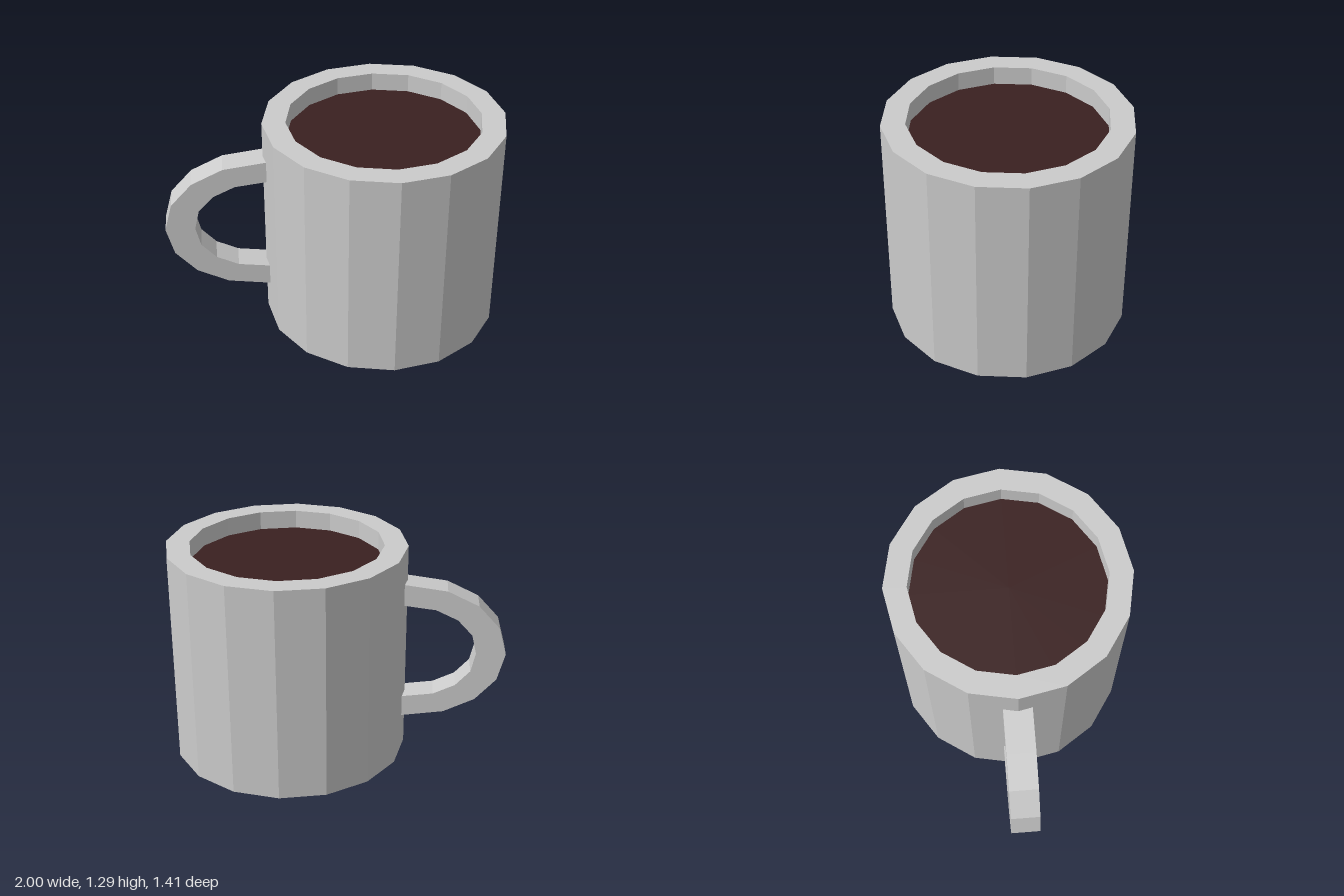
import * as THREE from 'three';

const SIDES = 16;
const CENTRE_X = 0.295;
const OUTER = 0.705;
const INNER = 0.568;
const HEIGHT = 1.29;

export function createModel() {
  const group = new THREE.Group();
  const grey = new THREE.MeshStandardMaterial({ color: 0xcccccc, flatShading: true, side: THREE.DoubleSide });
  const brown = new THREE.MeshStandardMaterial({ color: 0x3a2020, flatShading: true, side: THREE.DoubleSide });

  const add = (name, geometry, material, x = 0, y = 0, z = 0) => {
    const mesh = new THREE.Mesh(geometry, material);
    mesh.name = name;
    mesh.position.set(x, y, z);
    group.add(mesh);
  };

  // Mug: outer wall, flat rim, inner wall and floor; the gap between the walls is open below
  const profile = [[OUTER, 0], [OUTER, HEIGHT], [INNER, HEIGHT], [INNER, 0], [0, 0]]
    .map(([r, y]) => new THREE.Vector2(r, y));
  add('mug', new THREE.LatheGeometry(profile, SIDES), grey, CENTRE_X);

  // Drink surface just below the rim
  const surface = new THREE.CircleGeometry(INNER, SIDES).rotateX(-Math.PI / 2);
  add('drink', surface, brown, CENTRE_X, 1.18);

  // Handle: half outlines (x, height above the handle's middle), mirrored downwards
  const mirrored = (half) => [
    ...half,
    ...half.slice(0, -1).reverse().map(([x, y]) => [x, -y]),
  ];
  const outer = mirrored([[-0.37, 0.433], [-0.645, 0.395], [-0.83, 0.305], [-0.955, 0.168], [-1, 0]]);
  const inner = mirrored([[-0.37, 0.302], [-0.58, 0.275], [-0.71, 0.213], [-0.797, 0.118], [-0.825, 0]]);
  const outline = [...outer, ...inner.reverse()].map(([x, y]) => new THREE.Vector2(x, y));
  const handle = new THREE.ExtrudeGeometry(new THREE.Shape(outline), { depth: 0.166, bevelEnabled: false });
  add('handle', handle, grey, 0, 0.65, -0.084);

  return group;
}
